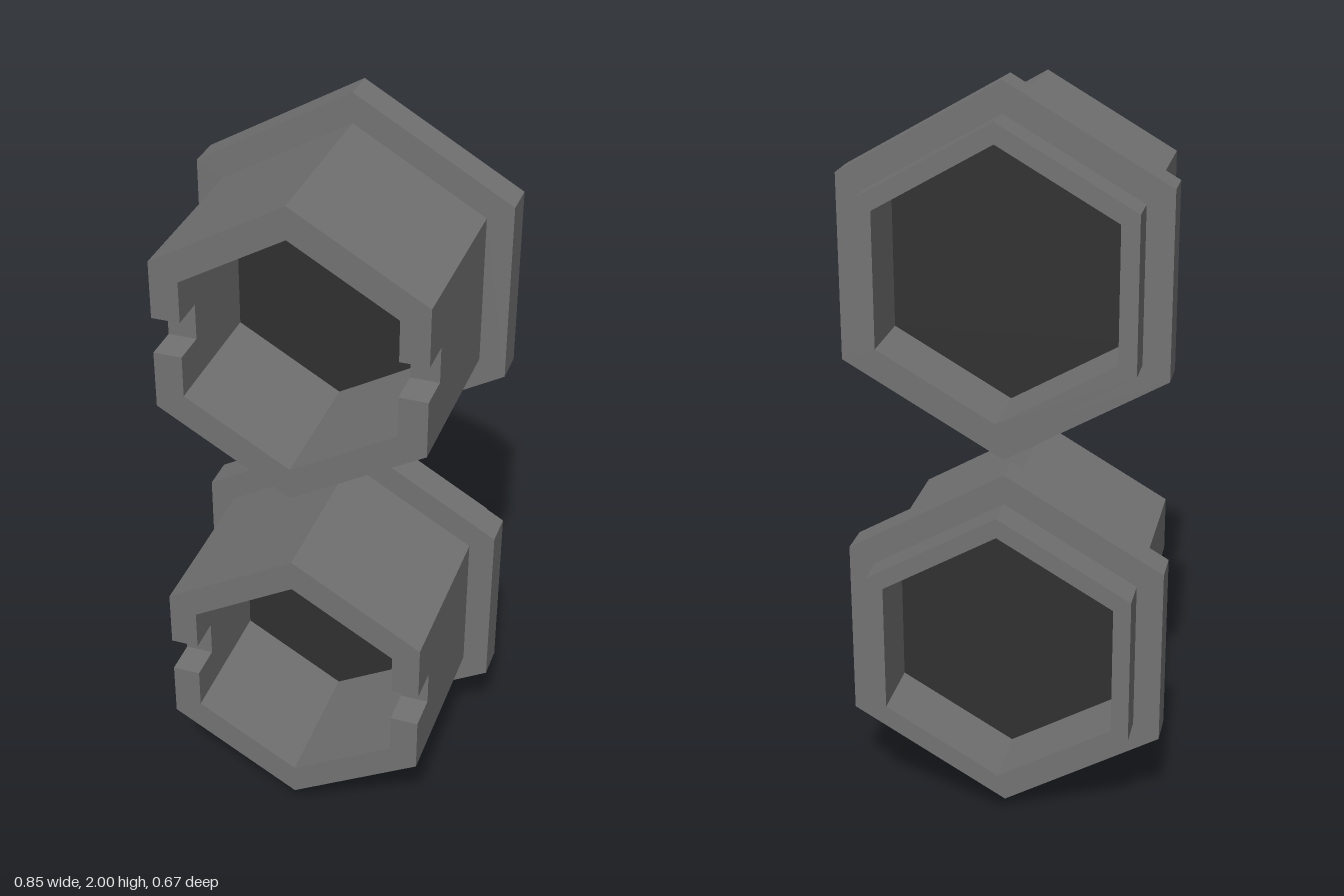
import * as THREE from 'three';

const COS30 = Math.cos(Math.PI / 6);
const BODY = 0.408, BORE = 0.321, REAR_BORE = 0.3545, FLANGE = 0.489;
const FRONT = 0.335, NOTCH_Z = 0.24, NOTCH_HALF = 0.049;

// Pointy-top hexagon corners
function hexPoints(r) {
  return Array.from({ length: 6 }, (_, i) => {
    const a = Math.PI / 2 + i * Math.PI / 3;
    return new THREE.Vector2(r * Math.cos(a), r * Math.sin(a));
  });
}

function hexShape(outer, inner) {
  const shape = new THREE.Shape(hexPoints(outer));
  if (inner) shape.holes.push(new THREE.Path(hexPoints(inner)));
  return shape;
}

// Upper half of the hexagonal tube wall, stopping at the side notches
function rimShape() {
  const half = (r) => [
    [r * COS30, NOTCH_HALF], [r * COS30, r / 2], [0, r],
    [-r * COS30, r / 2], [-r * COS30, NOTCH_HALF],
  ];
  const pts = [...half(BODY), ...half(BORE).reverse()];
  return new THREE.Shape(pts.map(([x, y]) => new THREE.Vector2(x, y)));
}

function prism(name, shape, z0, z1, material) {
  const geometry = new THREE.ExtrudeGeometry(shape, { depth: z1 - z0, bevelEnabled: false });
  geometry.translate(0, 0, z0);
  const mesh = new THREE.Mesh(geometry, material);
  mesh.name = name;
  return mesh;
}

export function createModel() {
  const grey = new THREE.MeshStandardMaterial({ color: 0x737373 });
  grey.name = 'grey plastic';
  const dark = new THREE.MeshStandardMaterial({ color: 0x303030 });
  dark.name = 'dark panel';

  const model = new THREE.Group();
  model.name = 'hexagonalSockets';

  for (const [name, y] of [['lowerSocket', FLANGE], ['upperSocket', 2 - FLANGE]]) {
    const socket = new THREE.Group();
    socket.name = name;
    socket.position.y = y;

    // Tube with a wider bore at the rear
    socket.add(prism('frontTube', hexShape(BODY, BORE), -0.12, NOTCH_Z, grey));
    socket.add(prism('rearTube', hexShape(BODY, REAR_BORE), -FRONT, -0.12, grey));

    // Two rim halves leave a notch on each side
    const upperRim = prism('upperRim', rimShape(), NOTCH_Z, FRONT, grey);
    const lowerRim = prism('lowerRim', rimShape(), NOTCH_Z, FRONT, grey);
    lowerRim.rotation.z = Math.PI;
    socket.add(upperRim, lowerRim);

    // Flange around the rear
    socket.add(prism('flange', hexShape(FLANGE, BODY), -0.24, -0.145, grey));

    // Dark partition across the bore
    socket.add(prism('frontPartition', hexShape(BORE), -0.12, -0.05, dark));
    socket.add(prism('rearPartition', hexShape(REAR_BORE), -0.145, -0.12, dark));

    model.add(socket);
  }
  return model;
}
